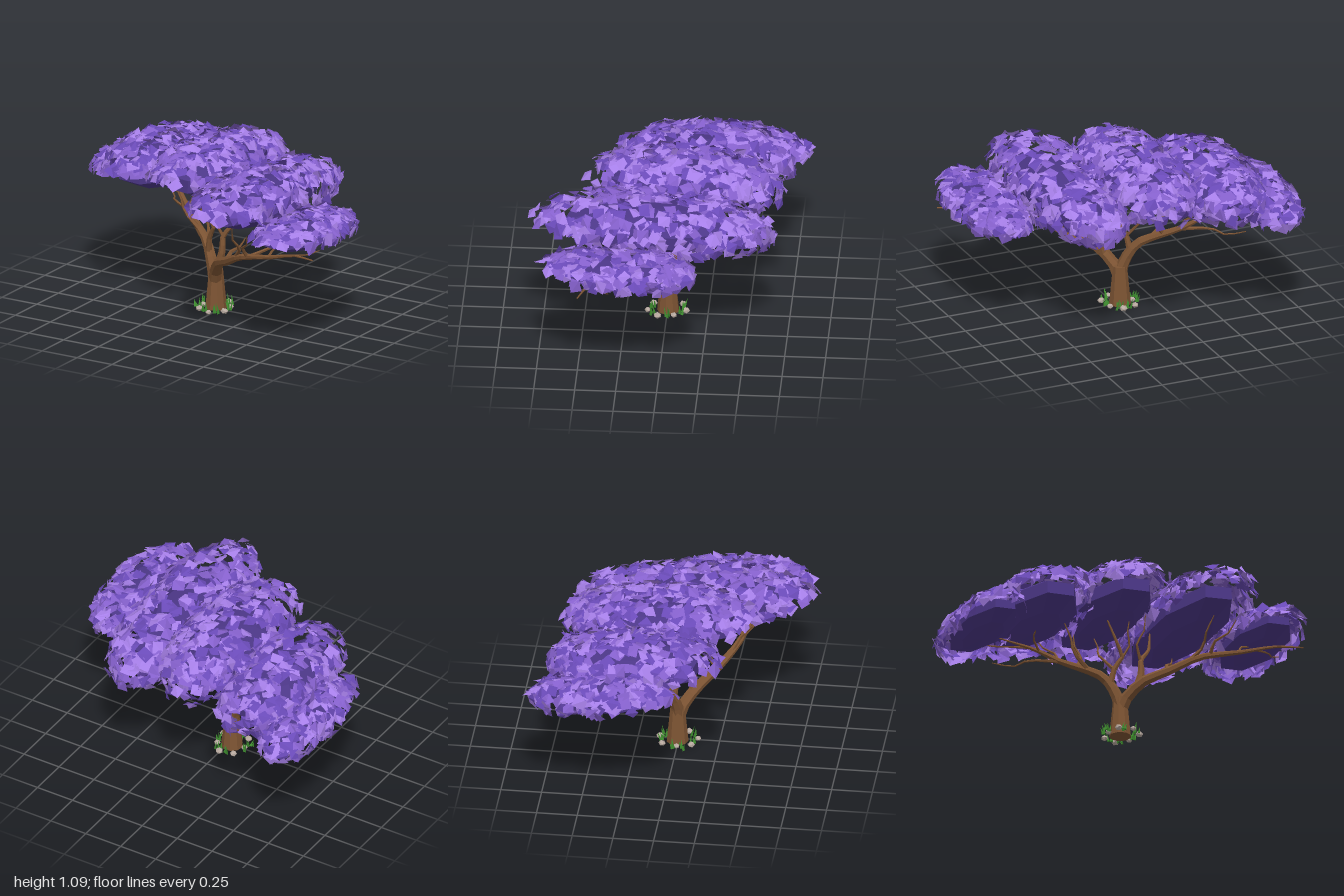
import * as THREE from 'three';
import { mergeGeometries } from 'three/addons/utils/BufferGeometryUtils.js';

const mat = (color, side = THREE.FrontSide) =>
  new THREE.MeshStandardMaterial({ color, side, flatShading: true });

function seeded(seed) {
  return () => {
    seed = (seed * 1664525 + 1013904223) >>> 0;
    return seed / 4294967296;
  };
}

const smoothPath = points => new THREE.CatmullRomCurve3(points, false, 'catmullrom', 0.3);

// Tapered limb along a curve
function limb(curve, r0, r1, steps, sides) {
  const geo = new THREE.TubeGeometry(curve, steps, 1, sides);
  const pos = geo.attributes.position, v = new THREE.Vector3();
  for (let i = 0; i < pos.count; i++) {
    const t = Math.floor(i / (sides + 1)) / steps;
    const c = curve.getPointAt(t);
    v.fromBufferAttribute(pos, i).sub(c).multiplyScalar(r0 + (r1 - r0) * t ** 0.75).add(c);
    pos.setXYZ(i, v.x, v.y, v.z);
  }
  return geo;
}

// Bough along a path, with twigs given as [position along it, end x, y, z]
function bough(path, radius, twigs) {
  const curve = smoothPath(path.map(p => new THREE.Vector3(...p)));
  const parts = [limb(curve, radius, 0.004, path.length * 2, 7)];
  twigs.forEach(([t, ...tip], i) => {
    const start = curve.getPointAt(t), end = new THREE.Vector3(...tip);
    const bend = start.distanceTo(end) * 0.13;
    const a = start.clone().lerp(end, 0.35), b = start.clone().lerp(end, 0.7);
    a.x += i % 2 ? bend : -bend;
    b.y -= bend * 0.5;
    const r = Math.max(0.009, radius * (1 - t) * 0.65);
    parts.push(limb(smoothPath([start, a, b, end]), r, 0.003, 6, 5));
  });
  return mergeGeometries(parts);
}

// Canopy lumps: centre, core radii, leaf shell radii and number of leaves
const LUMPS = [
  { at: [-0.79, 0.73, -0.36], core: [0.17, 0.09, 0.36], shell: [0.20, 0.13, 0.45], count: 280 },
  { at: [-0.52, 0.80, -0.21], core: [0.23, 0.13, 0.44], shell: [0.29, 0.20, 0.54], count: 410 },
  { at: [-0.08, 0.86, -0.10], core: [0.23, 0.13, 0.49], shell: [0.30, 0.21, 0.60], count: 450 },
  { at: [0.35, 0.79, 0.08], core: [0.22, 0.13, 0.58], shell: [0.29, 0.20, 0.74], count: 500 },
  { at: [0.76, 0.70, 0.26], core: [0.18, 0.085, 0.38], shell: [0.23, 0.11, 0.47], count: 280 },
];

export function createModel() {
  const group = new THREE.Group();
  const rand = seeded(11);
  const range = (a, b) => a + (b - a) * rand();
  const add = (name, geo, material, parent = group) => {
    const m = new THREE.Mesh(geo, material);
    m.name = name;
    parent.add(m);
    return m;
  };

  // Trunk
  const bark = mat(0x7d5433);
  const trunk = add('trunk', new THREE.CylinderGeometry(0.044, 0.068, 0.25, 9, 3), bark);
  trunk.position.set(-0.03, 0.13, -0.005);

  // Boughs
  add('leftBough', bough(
    [[-0.03, 0.19, 0], [-0.06, 0.29, -0.01], [-0.12, 0.4, -0.05], [-0.2, 0.45, -0.1], [-0.34, 0.52, -0.2],
      [-0.47, 0.61, -0.29], [-0.66, 0.69, -0.4]], 0.044,
    [[0.36, -0.38, 0.73, -0.08], [0.44, -0.25, 0.72, -0.2], [0.56, -0.66, 0.555, -0.48],
      [0.58, -0.42, 0.72, -0.36], [0.72, -0.56, 0.74, -0.12], [0.78, -0.77, 0.7, -0.52]]), bark);
  add('rightBough', bough(
    [[-0.03, 0.18, 0], [0, 0.27, 0.04], [0.07, 0.35, 0.12], [0.2, 0.41, 0.22], [0.35, 0.49, 0.32], [0.6, 0.55, 0.39],
      [0.8, 0.61, 0.44], [0.97, 0.62, 0.49]], 0.044,
    [[0.31, 0.26, 0.54, 0.12], [0.41, 0.37, 0.72, 0.46], [0.53, 0.5, 0.7, 0.5],
      [0.54, 0.64, 0.7, 0.06], [0.68, 0.74, 0.7, 0.28], [0.76, 0.9, 0.62, 0.3]]), bark);
  add('middleLeftBough', bough(
    [[-0.09, 0.35, -0.02], [-0.07, 0.46, 0], [-0.03, 0.53, 0.02], [-0.08, 0.63, 0.03], [-0.15, 0.79, 0.02]], 0.022,
    [[0.2, -0.1, 0.79, -0.25], [0.4, 0, 0.78, 0.06]]), bark);
  add('middleRightBough', bough(
    [[0.04, 0.31, 0.08], [0.07, 0.42, 0.08], [0.07, 0.51, 0.07], [0.14, 0.6, 0.04], [0.17, 0.74, 0]], 0.03,
    [[0.42, 0.06, 0.78, 0.15]]), bark);

  // Canopy
  const coreMat = mat(0x4c3788);
  const leafMats = [0x6a4ab8, 0x8560cc, 0xa67fe8].map(c => mat(c, THREE.DoubleSide));
  const dummy = new THREE.Object3D(), n = new THREE.Vector3();
  LUMPS.forEach(({ at, core, shell, count }) => {
    const lump = new THREE.Group();
    lump.name = 'canopyLump';
    lump.position.set(...at);
    lump.rotation.x = -0.04;
    group.add(lump);
    // Dark, coarsely faceted core under the leaves
    add('foliageCore', new THREE.SphereGeometry(1, 8, 5).rotateY(0.3).scale(...core), coreMat, lump);

    // Square leaves scattered over the upper shell, bare under the front tip
    const sets = leafMats.map(() => []);
    for (let i = 0; i < count;) {
      const ny = range(-0.35, 1), a = range(0, Math.PI * 2), h = Math.sqrt(1 - ny * ny);
      const d = [h * Math.cos(a), ny, h * Math.sin(a)];
      if (ny < -0.3 + 0.5 * Math.max(0, d[2])) continue;
      // Slightly boxy outline, so neighbouring lumps merge
      const k = range(0.86, 1.04);
      dummy.position.set(...d.map((e, j) => Math.sign(e) * Math.abs(e) ** 0.88 * shell[j] * k));
      n.set(...d.map((e, j) => e / shell[j])).normalize();
      n.x += range(-0.4, 0.4);
      n.y += range(-0.4, 0.4);
      n.z += range(-0.4, 0.4);
      dummy.lookAt(n.add(dummy.position));
      dummy.rotateZ(range(0, Math.PI));
      dummy.updateMatrix();
      const leaf = new THREE.PlaneGeometry(range(0.05, 0.08), range(0.05, 0.08));
      leaf.attributes.position.setZ(0, -0.012);
      leaf.attributes.position.setZ(3, -0.012);
      sets[Math.floor(rand() * 3)].push(leaf.applyMatrix4(dummy.matrix));
      i++;
    }
    sets.forEach((s, j) => add('leaves', mergeGeometries(s), leafMats[j], lump));
  });

  // Grass tufts around the foot
  const blades = [];
  for (let t = 0; t < 7; t++) {
    const a = t * 0.9 + range(-0.2, 0.2), r = range(0.085, 0.115);
    for (let b = 0; b < 4; b++) {
      const h = range(0.04, 0.075);
      const blade = new THREE.ConeGeometry(0.01, h, 3).translate(0, h / 2, 0);
      blade.rotateX(range(-0.3, 0.3)).rotateZ(range(-0.3, 0.3));
      blade.translate(-0.03 + r * Math.cos(a) + range(-0.018, 0.018), 0.006,
        r * Math.sin(a) * 1.15 + range(-0.018, 0.018));
      blades.push(blade);
    }
  }
  add('grass', mergeGeometries(blades), mat(0x3f8f2f));

  // Pebbles
  const stones = [];
  for (let i = 0; i < 7; i++) {
    const a = i * 0.9 + 0.45, r = range(0.085, 0.11), s = range(0.019, 0.025);
    stones.push(new THREE.IcosahedronGeometry(s).scale(1, 0.8, 1).rotateY(i)
      .translate(-0.03 + r * Math.cos(a), s * 0.7, r * Math.sin(a) * 1.15));
  }
  add('pebbles', mergeGeometries(stones), mat(0xb8aaa0));

  return group;
}
